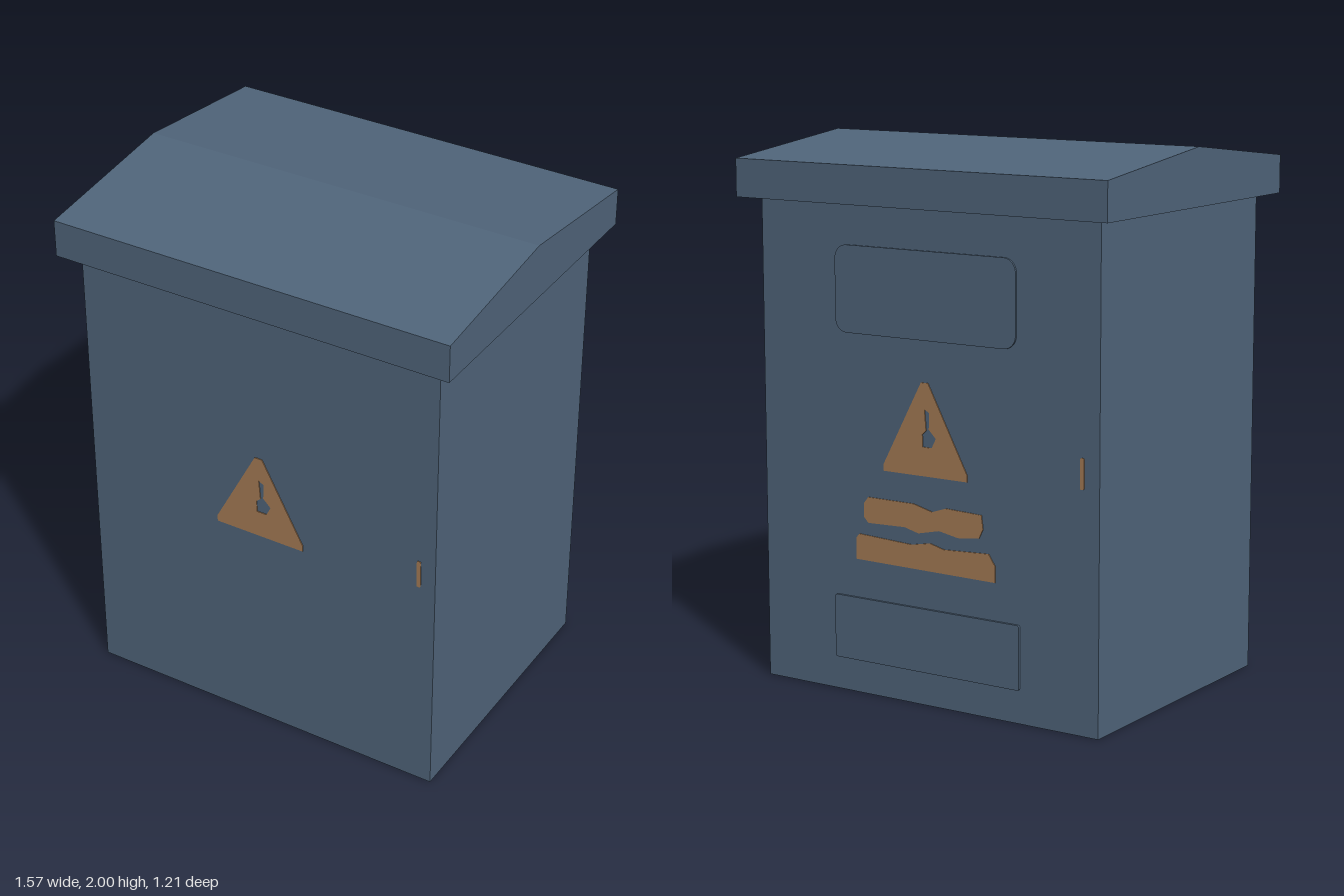
import * as THREE from 'three';

const shellBlue = new THREE.MeshStandardMaterial({ color: 0x50657b, side: THREE.DoubleSide });
shellBlue.name = 'slate blue';
const signOrange = new THREE.MeshStandardMaterial({ color: 0xa67c55 });
signOrange.name = 'dull orange';

const FRONT = 0.543, BACK = -0.543;

function shapeOf(points) {
  return new THREE.Shape(points.map(([x, y]) => new THREE.Vector2(x, y)));
}

function roundedRect(w, h, r) {
  const s = new THREE.Shape(), x = w / 2, y = h / 2;
  s.absarc(x - r, y - r, r, 0, Math.PI / 2);
  s.absarc(-x + r, y - r, r, Math.PI / 2, Math.PI);
  s.absarc(-x + r, -y + r, r, Math.PI, Math.PI * 1.5);
  s.absarc(x - r, -y + r, r, Math.PI * 1.5, Math.PI * 2);
  s.closePath();
  return s;
}

// thin plate lying on a wall, in wall coordinates (x to the viewer's right)
function plate(name, shape, depth, material, x = 0, y = 0) {
  const geo = new THREE.ExtrudeGeometry(shape, { depth, bevelEnabled: false, curveSegments: 5 });
  const mesh = new THREE.Mesh(geo, material);
  mesh.name = name;
  mesh.position.set(x, y, 0);
  return mesh;
}

// warning triangle with a bolt cut out, and the lock beside it
function wallFittings(name) {
  const wall = new THREE.Group();
  wall.name = name;
  const triangle = shapeOf([
    [-0.18, 0.84], [0.18, 0.84], [0.18, 0.865], [0.015, 1.175],
    [-0.015, 1.175], [-0.18, 0.865],
  ]);
  triangle.holes.push(shapeOf([
    [0, 1.08], [0.02, 1.07], [0.018, 1.01], [0.048, 0.98],
    [0.03, 0.945], [-0.01, 0.945], [-0.01, 0.99], [0.006, 1.005],
  ]));
  wall.add(plate('warningTriangle', triangle, 0.003, signOrange));
  wall.add(plate('lock', roundedRect(0.016, 0.11, 0.006), 0.003, signOrange, 0.652, 0.925));
  return wall;
}

export function createModel() {
  const model = new THREE.Group();
  model.name = 'utilityCabinet';

  // hollow body: four walls, open at the bottom
  const walls = new THREE.BoxGeometry(1.438, 1.79, FRONT - BACK);
  const index = Array.from(walls.index.array);
  walls.setIndex([...index.slice(0, 12), ...index.slice(24)]);
  walls.clearGroups();
  const body = new THREE.Mesh(walls, shellBlue);
  body.name = 'body';
  body.position.set(-0.002, 0.895, 0);
  model.add(body);

  // gabled roof, ridge along x
  const gable = shapeOf([[-0.607, 1.79], [0.607, 1.79], [0.607, 1.93], [0, 2], [-0.607, 1.93]]);
  const roofGeo = new THREE.ExtrudeGeometry(gable, { depth: 1.566, bevelEnabled: false });
  roofGeo.translate(0, 0, -0.783).rotateY(Math.PI / 2);
  const roof = new THREE.Mesh(roofGeo, shellBlue);
  roof.name = 'roof';
  model.add(roof);

  // front
  const front = wallFittings('frontFittings');
  front.position.z = FRONT;
  model.add(front);

  // back: the same sign and lock, plus two raised panels and two sign strips
  const back = wallFittings('backFittings');
  back.position.z = BACK;
  back.rotation.y = Math.PI;
  back.add(plate('upperPanel', roundedRect(0.77, 0.315, 0.05), 0.007, shellBlue, 0, 1.483));
  back.add(plate('lowerPanel', roundedRect(0.8, 0.235, 0.008), 0.009, shellBlue, 0, 0.24));
  back.add(plate('upperStrip', shapeOf([
    [-0.25, 0.64], [-0.09, 0.645], [-0.03, 0.63], [0.06, 0.65], [0.14, 0.635], [0.23, 0.645],
    [0.247, 0.68], [0.24, 0.73], [0.09, 0.735], [0.03, 0.715], [-0.05, 0.735], [-0.25, 0.735],
    [-0.27, 0.71], [-0.27, 0.66],
  ]), 0.003, signOrange));
  back.add(plate('lowerStrip', shapeOf([
    [-0.305, 0.5], [0.297, 0.495], [0.297, 0.555], [0.27, 0.595], [0.08, 0.585],
    [0.02, 0.6], [-0.06, 0.585], [-0.29, 0.595], [-0.305, 0.58],
  ]), 0.003, signOrange));
  model.add(back);

  return model;
}
